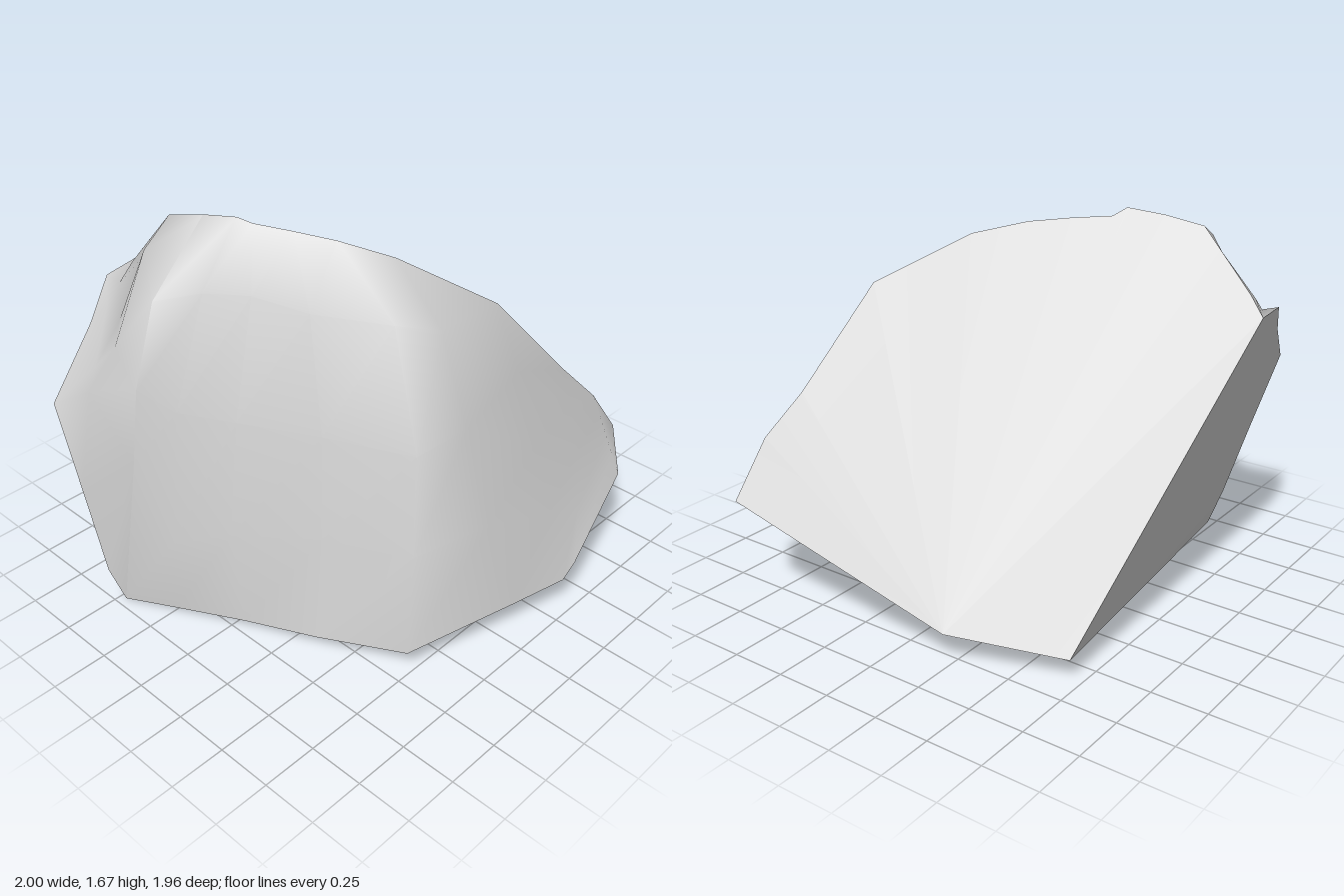
import * as THREE from 'three';
import { mergeVertices } from 'three/addons/utils/BufferGeometryUtils.js';

// Corners shared by the flat cut faces
const TIP = [1, 0.53, 0.72];
const LOW_RIGHT = [0.82, 0.14, -0.23];
const LOW_BACK = [0.63, 0.10, -0.71];
const TOP_BACK = [-0.33, 1.30, -0.98];
const COLS = 4;

// Sections of the weathered skin: each runs from the top ridge down to the outer edge
const frontRows = [
  Array(COLS + 1).fill(TIP),
  [[0.83, 0.765, 0.70], [0.82, 0.69, 0.75], [0.81, 0.61, 0.80], [0.80, 0.53, 0.85], [0.79, 0.455, 0.90]],
  [[0.68, 0.94, 0.62], [0.64, 0.80, 0.71], [0.58, 0.62, 0.80], [0.50, 0.42, 0.89], [0.38, 0.235, 0.98]],
  [[0.33, 1.355, 0.51], [0.33, 1.08, 0.64], [0.32, 0.78, 0.76], [0.31, 0.48, 0.87], [0.30, 0.185, 0.98]],
  [[0.05, 1.556, 0.20], [-0.02, 1.37, 0.51], [-0.02, 0.98, 0.66], [0, 0.55, 0.79], [0.05, 0.162, 0.905]],
  [[-0.08, 1.61, 0], [-0.13, 1.38, 0.36], [-0.22, 0.90, 0.57], [-0.33, 0.50, 0.66], [-0.45, 0.12, 0.75]],
  [[-0.17, 1.63, -0.16], [-0.28, 1.37, 0.04], [-0.38, 0.90, 0.20], [-0.50, 0.50, 0.31], [-0.61, 0.08, 0.38]],
  [[-0.25, 1.643, -0.31], [-0.40, 1.42, -0.17], [-0.55, 0.90, -0.13], [-0.70, 0.45, -0.03], [-0.73, 0.05, 0.06]],
  [[-0.30, 1.675, -0.35], [-0.52, 1.42, -0.33], [-0.70, 0.93, -0.33], [-0.85, 0.38, -0.23], [-0.86, 0.023, -0.24]],
  [[-0.35, 1.655, -0.50], [-0.66, 1.38, -0.48], [-0.79, 1.02, -0.47], [-0.86, 0.71, -0.44], [-0.96, 0, -0.47]],
];

// Sections of the chipped flank, hollowed behind the spine
const flankRows = [
  frontRows[9],
  [...frontRows[9].slice(0, COLS), [-1, 0.16, -0.52]],
  [[-0.40, 1.62, -0.66], [-0.58, 1.54, -0.61], [-0.78, 1.17, -0.60], [-0.91, 1.0, -0.63], [-1, 0.53, -0.64]],
  [[-0.38, 1.535, -0.75], [-0.50, 1.43, -0.74], [-0.66, 1.20, -0.72], [-0.82, 1.05, -0.70], [-1, 0.92, -0.77]],
  [[-0.35, 1.38, -0.91], [-0.44, 1.34, -0.89], [-0.53, 1.27, -0.88], [-0.62, 1.20, -0.86], [-0.70, 1.14, -0.88]],
  [TOP_BACK, TOP_BACK, TOP_BACK, [-0.54, 1.29, -0.95], [-0.70, 1.14, -0.88]],
];

// Builds a smooth geometry from triangles given as corner triples
function fromTriangles(tris) {
  const g = new THREE.BufferGeometry();
  g.setAttribute('position', new THREE.Float32BufferAttribute(tris.flat(2), 3));
  const merged = mergeVertices(g);
  merged.computeVertexNormals();
  return merged;
}

// Skin stretched over neighbouring sections
function skin(rows) {
  const tris = [];
  for (let i = 0; i < rows.length - 1; i++) {
    for (let j = 0; j < COLS; j++) {
      const a = rows[i][j], b = rows[i][j + 1];
      const c = rows[i + 1][j + 1], d = rows[i + 1][j];
      for (const t of [[a, d, c], [a, c, b]]) {
        if (new Set(t.map(String)).size === 3) tris.push(t);
      }
    }
  }
  return fromTriangles(tris);
}

// Flat face fanned out from its first corner
function flatFace(points) {
  const tris = [];
  for (let i = 1; i < points.length - 1; i++) tris.push([points[0], points[i], points[i + 1]]);
  return fromTriangles(tris);
}

export function createModel() {
  const group = new THREE.Group();
  group.name = 'rockFragment';
  const stone = new THREE.MeshStandardMaterial({ color: 0xc6c6c6 });
  stone.name = 'grey stone';

  const add = (name, geometry) => {
    const mesh = new THREE.Mesh(geometry, stone);
    mesh.name = name;
    group.add(mesh);
  };

  const ridge = [...frontRows, ...flankRows.slice(2)].map((r) => r[0]);
  const frontEdge = frontRows.map((r) => r[COLS]);
  const flankEdge = flankRows.slice(0, 5).map((r) => r[COLS]);

  // Weathered outer surfaces
  add('weatheredFront', skin(frontRows));
  add('chippedFlank', skin(flankRows));

  // Flat cut faces
  add('rightCutFace', flatFace([LOW_RIGHT, LOW_BACK, ...ridge.reverse()]));
  add('backCutFace', flatFace([LOW_BACK, ...flankEdge, flankRows[5][3], TOP_BACK]));
  add('bottomCutFace', flatFace([LOW_BACK, LOW_RIGHT, ...frontEdge.slice(3)]));
  add('lowerFrontCutFace', flatFace([LOW_RIGHT, ...frontEdge.slice(0, 4)]));

  return group;
}
